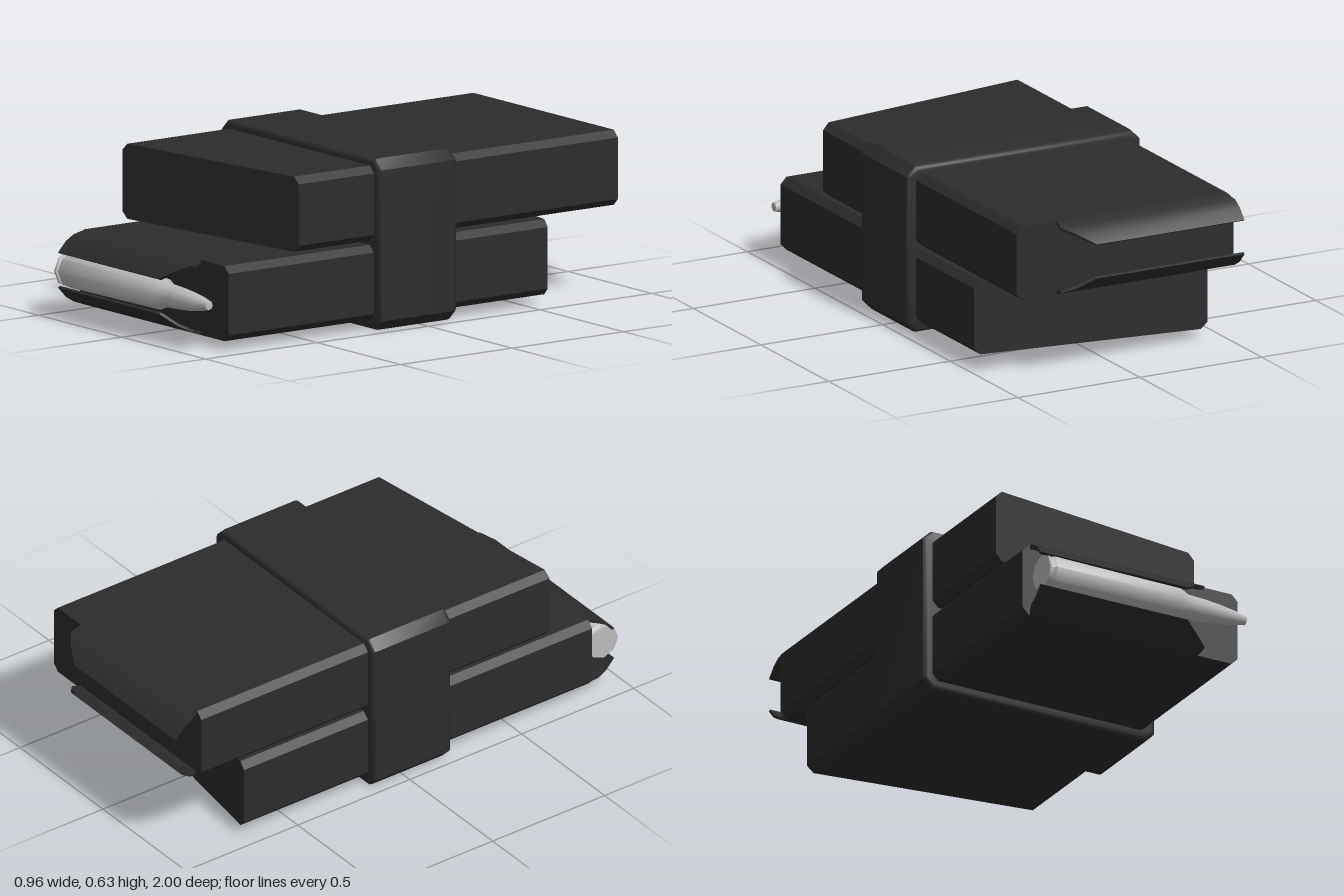
import * as THREE from 'three';
import { toCreasedNormals } from 'three/addons/utils/BufferGeometryUtils.js';

const black = new THREE.MeshStandardMaterial({ color: 0x2c2c2c });
black.name = 'black polymer';
const metal = new THREE.MeshStandardMaterial({ color: 0xbcbcbc });
metal.name = 'bare metal';

const MID_Y = 0.1725; // height of the lower magazine's centre line

function part(name, geometry, material) {
  const mesh = new THREE.Mesh(geometry, material);
  mesh.name = name;
  return mesh;
}

// Rectangle with cut corners, centred on the origin
function cutRect(w, h, c) {
  const x = w / 2, y = h / 2;
  return new THREE.Shape([
    [-x + c, -y], [x - c, -y], [x, -y + c], [x, y - c],
    [x - c, y], [-x + c, y], [-x, y - c], [-x, -y + c],
  ].map(([a, b]) => new THREE.Vector2(a, b)));
}

// Long box whose base end is slanted across its width
function bodyGeometry() {
  const geo = new THREE.ExtrudeGeometry(cutRect(0.89, 0.275, 0.025), { depth: 0.855, bevelEnabled: false });
  const p = geo.attributes.position;
  for (let i = 0; i < p.count; i++) {
    if (p.getZ(i) < 0.01) p.setZ(i, -0.70 + (p.getX(i) + 0.445) * 0.14);
  }
  geo.computeVertexNormals();
  return geo;
}

// Curved feed lip: a thin shell swept along x; side is 1 for upper, -1 for lower
function lipGeometry(side) {
  // z, y above centre, left x, right x
  const outer = [
    [0.855, 0.1375, -0.415, 0.28], [0.895, 0.123, -0.43, 0.285],
    [0.93, 0.102, -0.43, 0.24], [0.965, 0.064, -0.43, 0.175],
  ];
  const inner = outer.map(([z, y, l, r], i) => [z - i * 0.003, y - 0.014 + i * 0.003, l, r]).reverse();
  const ring = [...outer, ...inner];
  const n = ring.length;
  const pos = [], index = [];
  for (const [z, y, l, r] of ring) pos.push(l, y * side, z, r, y * side, z);
  const tri = (a, b, c) => (side > 0 ? index.push(a, b, c) : index.push(a, c, b));
  for (let i = 0; i < n; i++) {
    const a = 2 * i, b = 2 * ((i + 1) % n);
    tri(a, b, b + 1);
    tri(a, b + 1, a + 1);
  }
  // end caps, one quad for each step of the curve
  for (let i = 0; i < outer.length - 1; i++) {
    const a = 2 * i, b = a + 2, c = 2 * (n - 2 - i), d = 2 * (n - 1 - i);
    tri(a, c, b);
    tri(a, d, c);
    tri(a + 1, b + 1, c + 1);
    tri(a + 1, c + 1, d + 1);
  }
  const geo = new THREE.BufferGeometry();
  geo.setAttribute('position', new THREE.Float32BufferAttribute(pos, 3));
  geo.setIndex(index);
  return toCreasedNormals(geo, 0.5);
}

function magazine(name) {
  const group = new THREE.Group();
  group.name = name;
  group.add(part('magazineBody', bodyGeometry(), black));
  group.add(part('upperFeedLip', lipGeometry(1), black));
  group.add(part('lowerFeedLip', lipGeometry(-1), black));
  return group;
}

// Eight-sided cartridge lying along x, tip towards +x
function cartridge() {
  const profile = [
    [0, -0.41], [0.0655, -0.41], [0.0655, -0.402], [0.056, -0.398], [0.056, -0.392], [0.0675, -0.382],
    [0.062, 0.14], [0.046, 0.18], [0.044, 0.24], [0.038, 0.31], [0.029, 0.375], [0.017, 0.43], [0, 0.432],
  ].map(([r, x]) => new THREE.Vector2(r, x));
  const geo = toCreasedNormals(new THREE.LatheGeometry(profile, 8), 0.85);
  geo.rotateZ(-Math.PI / 2);
  const mesh = part('cartridge', geo, metal);
  mesh.position.set(0, 0.176, 0.932);
  return mesh;
}

// Block clamping the two magazines, with rounded rims
function coupler() {
  const bevel = 0.018;
  const geo = new THREE.ExtrudeGeometry(cutRect(0.96, 0.627, 0.037), {
    depth: 0.35 - 2 * bevel, bevelEnabled: true, bevelThickness: bevel,
    bevelSize: bevel, bevelOffset: -bevel, bevelSegments: 3,
  });
  const mesh = part('coupler', toCreasedNormals(geo, 0.7), black);
  mesh.position.set(0, 0.3135, -0.146 + bevel);
  return mesh;
}

export function createModel() {
  const model = new THREE.Group();
  model.name = 'coupledMagazines';

  const lower = magazine('lowerMagazine');
  lower.position.y = MID_Y;

  // The upper magazine points the other way
  const upper = magazine('upperMagazine');
  upper.rotation.x = Math.PI;
  upper.position.set(0, 0.4625, -0.035);

  model.add(lower, upper, coupler(), cartridge());
  return model;
}
